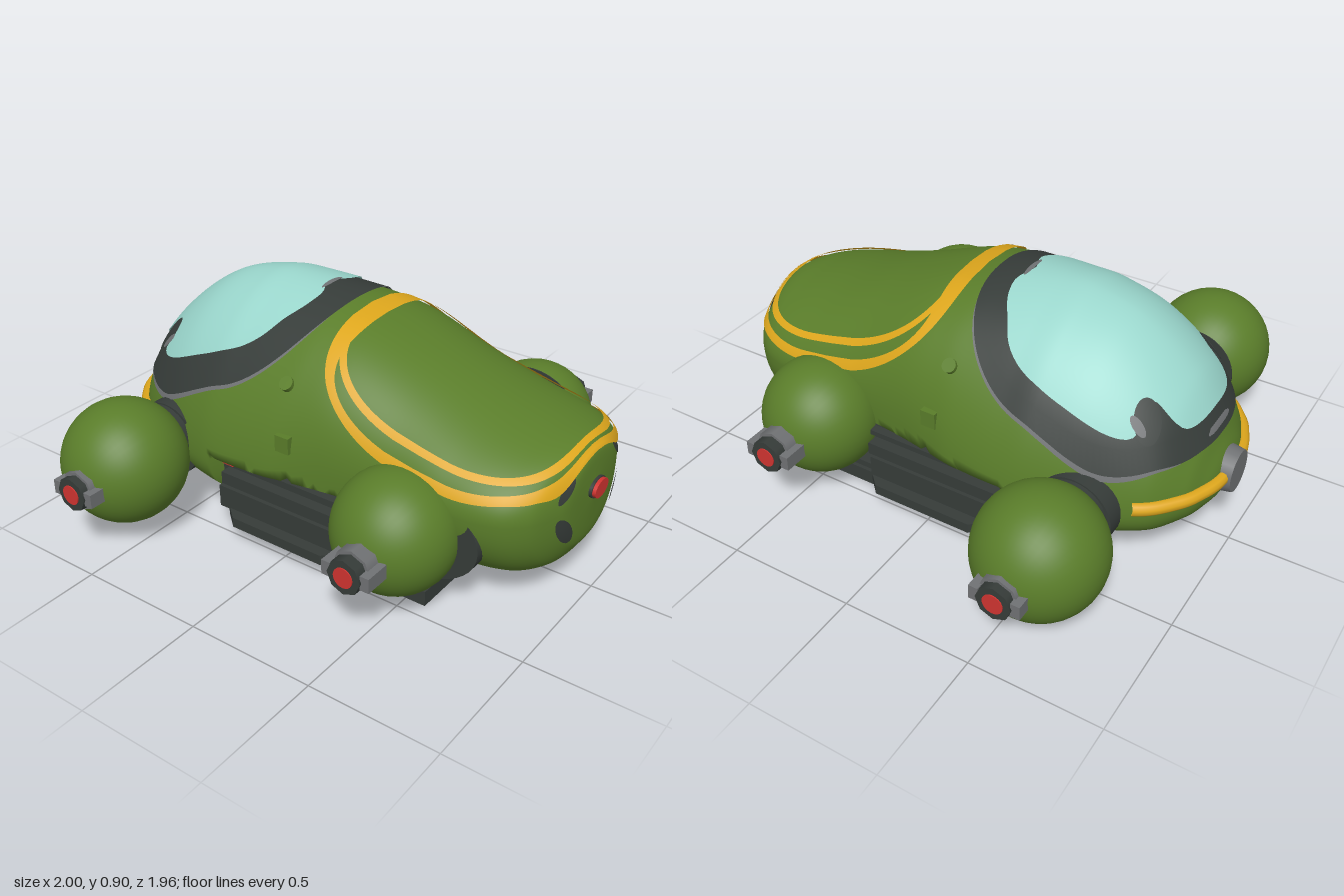
import * as THREE from 'three';
import { mergeVertices } from 'three/addons/utils/BufferGeometryUtils.js';

const mat = (name, color) => new THREE.MeshStandardMaterial({ name, color, side: THREE.DoubleSide });
const green = mat('green paint', 0x5a7d2a), glass = mat('pale glass', 0x9ad6cc), dark = mat('dark metal', 0x363c39);
const yellow = mat('yellow trim', 0xdda61c), red = mat('red lamp', 0xd03430), grey = mat('grey metal', 0x707274);

// hull stations from nose to tail: x, top, widest height, bottom, half width, roundness
const hull = [
  [-0.97, 0.33, 0.32, 0.31, 0, 1.8], [-0.96, 0.385, 0.32, 0.25, 0.11, 1.8], [-0.93, 0.455, 0.315, 0.205, 0.2, 1.8],
  [-0.9, 0.525, 0.31, 0.175, 0.26, 1.8], [-0.8, 0.675, 0.3, 0.12, 0.37, 1.8], [-0.6, 0.828, 0.3, 0.08, 0.46, 1.8],
  [-0.4, 0.888, 0.3, 0.06, 0.51, 1.8], [-0.28, 0.894, 0.3, 0.055, 0.52, 1.8], [-0.1, 0.882, 0.31, 0.055, 0.51, 1.95],
  [0, 0.865, 0.32, 0.055, 0.49, 2.15], [0.15, 0.828, 0.36, 0.055, 0.465, 2.3], [0.4, 0.74, 0.39, 0.06, 0.44, 2.1],
  [0.6, 0.67, 0.4, 0.065, 0.435, 2], [0.8, 0.615, 0.4, 0.08, 0.4, 2], [0.9, 0.59, 0.4, 0.125, 0.325, 2],
  [0.95, 0.565, 0.4, 0.19, 0.22, 2], [0.97, 0.53, 0.41, 0.25, 0.14, 2], [0.98, 0.42, 0.41, 0.4, 0, 2],
];

// smooth interpolation between the stations
function station(x) {
  x = THREE.MathUtils.clamp(x, -0.97, 0.98);
  let i = 0;
  while (i < hull.length - 2 && x > hull[i + 1][0]) i++;
  const a = hull[i], b = hull[i + 1], h = b[0] - a[0], t = (x - a[0]) / h;
  const slope = (k, c) => {
    const p = hull[Math.max(k - 1, 0)], q = hull[Math.min(k + 1, hull.length - 1)];
    return (q[c] - p[c]) / (q[0] - p[0]);
  };
  return [1, 2, 3, 4, 5].map((c) => {
    if (i === 0 || i === hull.length - 2) return a[c] + (b[c] - a[c]) * t;
    return a[c] * (1 + 2 * t) * (1 - t) ** 2 + b[c] * t * t * (3 - 2 * t)
      + h * (slope(i, c) * t * (1 - t) ** 2 + slope(i + 1, c) * t * t * (t - 1));
  });
}

const spow = (v, e) => Math.sign(v) * Math.abs(v) ** e;

function topY(x, z) {
  const [yt, ym, , w, p] = station(x);
  const u = Math.min(Math.abs(z) / Math.max(w, 1e-4), 0.998);
  return ym + (yt - ym) * (1 - u ** p) ** (1 / p);
}

// point lifted off the upper hull along its normal
function onTop(x, z, off) {
  const e = 0.004;
  const n = new THREE.Vector3((topY(x - e, z) - topY(x + e, z)) / (2 * e), 1, (topY(x, z - e) - topY(x, z + e)) / (2 * e));
  return n.normalize().multiplyScalar(off).add(new THREE.Vector3(x, topY(x, z), z));
}

function sideZ(x, y) {
  const [yt, ym, yb, w, p] = station(x);
  const up = y > ym, e = up ? p : 2.2;
  const v = Math.min(up ? (y - ym) / (yt - ym) : (ym - y) / (ym - yb), 1);
  return w * (1 - v ** e) ** (1 / e);
}

// furthest tail x still inside the hull
function tailX(y, z) {
  let a = 0.6, b = 0.98;
  for (let i = 0; i < 24; i++) {
    const m = (a + b) / 2, [yt, , yb] = station(m);
    if (y < yt && y > yb && Math.abs(z) < sideZ(m, y)) a = m; else b = m;
  }
  return a;
}

function grid(f, nu, nv) {
  const pos = [], idx = [];
  for (let i = 0; i <= nu; i++) for (let j = 0; j <= nv; j++) pos.push(...f(i / nu, j / nv).toArray());
  for (let i = 0; i < nu; i++) for (let j = 0; j < nv; j++) {
    const a = i * (nv + 1) + j, b = a + nv + 1;
    idx.push(a, a + 1, b, b, a + 1, b + 1);
  }
  let g = new THREE.BufferGeometry();
  g.setAttribute('position', new THREE.Float32BufferAttribute(pos, 3));
  g.setIndex(idx);
  g = mergeVertices(g, 1e-5);
  g.computeVertexNormals();
  return g;
}

function add(parent, name, geo, material, x = 0, y = 0, z = 0) {
  const m = new THREE.Mesh(geo, material);
  m.name = name;
  m.position.set(x, y, z);
  parent.add(m);
  return m;
}
const box = (w, h, d) => new THREE.BoxGeometry(w, h, d);
const axleCyl = (r, l, n = 32) => new THREE.CylinderGeometry(r, r, l, n).rotateX(Math.PI / 2);

// band or full patch of a rounded outline laid over the upper hull
function band({ cx, cz = 0, rx, rz, nL = 2, nR = 2 }, s0, s1, off, shape = () => 1) {
  return grid((u, v) => {
    const t = u * Math.PI * 2, c = Math.cos(t), n = c < 0 ? nL : nR;
    const s = (s0 + (s1 - s0) * v) * shape(t, v);
    return onTop(cx + rx * s * spow(c, 2 / n), cz + rz * s * spow(Math.sin(t), 2 / n), off);
  }, 120, s0 ? 8 : 32);
}
const bump = (t, at, w) => Math.exp(-(((t - at) / w) ** 2));

// wheel pod with its hub, built facing +z
function wheel(parent, name, x, z, r, cut, hubZ, hubEnd) {
  const g = new THREE.Group();
  g.name = name;
  g.position.set(x, 0.314, 0);
  parent.add(g);
  add(g, 'pod', new THREE.SphereGeometry(r, 40, 28, 0, Math.PI * 2, 0, Math.acos((cut - z) / r)).rotateX(Math.PI / 2), green, 0, 0, z);
  const rc = Math.sqrt(r * r - (cut - z) ** 2);
  add(g, 'podBack', axleCyl(rc - 0.003, 0.012, 40), dark, 0, 0, cut + 0.006);
  add(g, 'axle', axleCyl(0.13, cut - 0.3), dark, 0, 0, (cut + 0.3) / 2);
  const hub = new THREE.Group();
  hub.name = 'hubAssembly';
  hub.position.set(0.012, -0.009, 0);
  g.add(hub);
  const l = hubEnd - hubZ, mid = (hubZ + hubEnd) / 2;
  add(hub, 'hub', axleCyl(0.066, l, 8), dark, 0, 0, mid);
  add(hub, 'hubRing', axleCyl(0.078, l * 0.6, 8), grey, 0, 0, mid - l * 0.2);
  for (const s of [-1, 1]) add(hub, 'hubLug', box(0.035, 0.055, l * 0.9), grey, s * 0.077, 0, mid - l * 0.03);
  add(hub, 'hubLamp', axleCyl(0.038, 0.008, 20), red, 0, 0, hubEnd);
}

export function createModel() {
  const model = new THREE.Group();
  model.name = 'vehicle';

  // hull, with its lower flanks recessed under a straight skirt between the wheels
  const skirt = 0.325;
  add(model, 'hull', grid((u, v) => {
    const x = 0.005 - 0.975 * Math.cos(u * Math.PI), [yt, ym, yb, w, p] = station(x);
    const a = v * Math.PI * 2 - Math.PI / 2, c = Math.cos(a), s = Math.sin(a), e = 2 / (s > 0 ? p : 2.2);
    const y = ym + (s > 0 ? yt - ym : ym - yb) * spow(s, e), z = w * spow(c, e);
    if (x < -0.33 || x > 0.3 || y > skirt + 0.022) return new THREE.Vector3(x, y, z);
    if (y >= skirt) return new THREE.Vector3(x, skirt, z);
    return new THREE.Vector3(x, y, THREE.MathUtils.clamp(z, -0.4, 0.4));
  }, 140, 160), green);

  // canopy
  const rim = { cx: -0.47, rx: 0.45, rz: 0.44, nL: 2.2, nR: 2.65 };
  add(model, 'canopyFrame', band(rim, 0.3, 1, 0.007), dark);
  const ends = (t) => bump(t, Math.PI, 0.6) + bump(t, 0, 0.4) + bump(t, Math.PI * 2, 0.4);
  add(model, 'canopyRim', band(rim, 0.985, 1.016, 0.005, (t) => 1 - 0.03 * ends(t)), grey);
  const pane = { cx: -0.5, rx: 0.375, rz: 0.37, nL: 2.3, nR: 2.6 };
  add(model, 'canopyGlass', band(pane, 0, 1, 0.014, (t) => {
    const a = Math.abs(t > Math.PI ? t - Math.PI * 2 : t);
    return 1 - 0.1 * bump(a, 0, 0.09) - 0.2 * bump(a, 2.42, 0.17) - 0.03 * bump(a, 0.6, 0.2);
  }), glass);
  add(model, 'canopyCatch', band({ cx: -0.15, rx: 0.01, rz: 0.06 }, 0, 1, 0.016), grey);
  for (const s of [-1, 1]) {
    add(model, 'canopyHingePad', band({ cx: -0.74, cz: s * 0.255, rx: 0.045, rz: 0.05 }, 0, 1, 0.0155), dark);
    add(model, 'canopyHinge', band({ cx: -0.72, cz: s * 0.285, rx: 0.03, rz: 0.014 }, 0, 1, 0.0175), grey);
  }

  // rear deck trim lines, widest behind the canopy
  const deck = { cx: 0.497, rx: 0.465, rz: 0.422, nL: 4.5, nR: 3 };
  const inner = { cx: 0.5, rx: 0.435, rz: 0.378, nL: 4.2, nR: 3 };
  add(model, 'deckTrimOuter', band(deck, 0.96, 1, 0.008, (t, v) => 1 - 0.13 * (1 - v) * bump(t, Math.PI, 0.55)), yellow);
  add(model, 'deckTrimInner', band(inner, 0.95, 1, 0.009), yellow);

  // nose bumper and cap
  const arc = [];
  for (let i = -12; i <= 12; i++) {
    const x = -0.966 + 0.2 * (Math.abs(i) / 12) ** 2;
    arc.push(new THREE.Vector3(x - 0.004, 0.335, Math.sign(i) * sideZ(x, 0.335)));
  }
  add(model, 'noseBumper', new THREE.TubeGeometry(new THREE.CatmullRomCurve3(arc), 60, 0.025, 10), yellow);
  add(model, 'noseCap', new THREE.CylinderGeometry(0.08, 0.09, 0.06, 24).rotateZ(Math.PI / 2), grey, -0.97, 0.325, 0);

  // tail lamp and marks
  const lamp = (r, l) => new THREE.CylinderGeometry(r, r, l, 24).rotateZ(Math.PI / 2).scale(1, 0.66, 1);
  add(model, 'tailLampRing', lamp(0.056, 0.03), dark, 0.972, 0.42, 0);
  add(model, 'tailLamp', lamp(0.05, 0.04), red, 0.98, 0.42, 0);
  const mark = (y, z, ry, rz, tilt) => grid((u, v) => {
    const a = u * Math.PI * 2, p = v * ry * Math.sin(a), q = v * rz * Math.cos(a);
    const yy = y + p * Math.cos(tilt) - q * Math.sin(tilt), zz = z + p * Math.sin(tilt) + q * Math.cos(tilt);
    return new THREE.Vector3(tailX(yy, zz) + 0.007, yy, zz);
  }, 24, 5);
  for (const s of [-1, 1]) {
    add(model, 'tailMark', mark(0.33, s * 0.19, 0.07, 0.03, s * 0.6), dark);
    add(model, 'tailVent', mark(0.485, s * 0.185, 0.055, 0.018, s * -0.85), dark);
  }

  // bottom plate
  add(model, 'bottomPlate', box(0.76, 0.06, 0.89), dark, 0.2, 0.035, 0);
  add(model, 'plateTop', box(0.7, 0.03, 0.86), dark, 0.2, 0.075, 0);

  // parts repeated on each side
  for (const s of [1, -1]) {
    const side = new THREE.Group();
    side.name = s > 0 ? 'frontSide' : 'backSide';
    side.scale.z = s;
    model.add(side);

    wheel(side, 'noseWheel', -0.594, 0.7, 0.237, 0.53, 0.9, 0.978);
    wheel(side, 'tailWheel', 0.48, 0.485, 0.228, 0.45, 0.69, 0.8);
    add(side, 'noseWheelMount', axleCyl(0.15, 0.1, 36), dark, -0.59, 0.3, 0.43);
    add(side, 'tailWheelWell', axleCyl(0.275, 0.2, 40).scale(1, 0.66, 1), dark, 0.49, 0.285, 0.32);

    // sill machinery
    const sill = new THREE.Shape([[-0.28, 0.36], [0.26, 0.36], [0.26, 0.49], [0.2, 0.55], [-0.21, 0.55], [-0.28, 0.49]]
      .map(([x, z]) => new THREE.Vector2(x, -z)));
    add(side, 'sillStep', new THREE.ExtrudeGeometry(sill, { depth: 0.04, bevelEnabled: false }).rotateX(-Math.PI / 2), dark, 0, 0.08, 0);
    add(side, 'sillBlock', box(0.56, 0.09, 0.14), dark, -0.03, 0.16, 0.435);
    add(side, 'sillCore', box(0.62, 0.24, 0.12), dark, -0.04, 0.205, 0.395);
    add(side, 'sillRail', box(0.56, 0.05, 0.1), dark, -0.02, 0.24, 0.45);
    add(side, 'sillLedge', box(0.6, 0.02, 0.1), dark, -0.04, 0.312, 0.44);
    add(side, 'sillLamp', box(0.05, 0.02, 0.02), red, -0.27, 0.312, 0.485);

    // small hull fittings
    add(side, 'latch', box(0.06, 0.065, 0.03), green, -0.01, 0.475, sideZ(-0.01, 0.475));
    add(side, 'button', axleCyl(0.027, 0.03, 20).rotateX(-0.8), green, -0.05, 0.665, sideZ(-0.05, 0.665));
  }
  return model;
}
